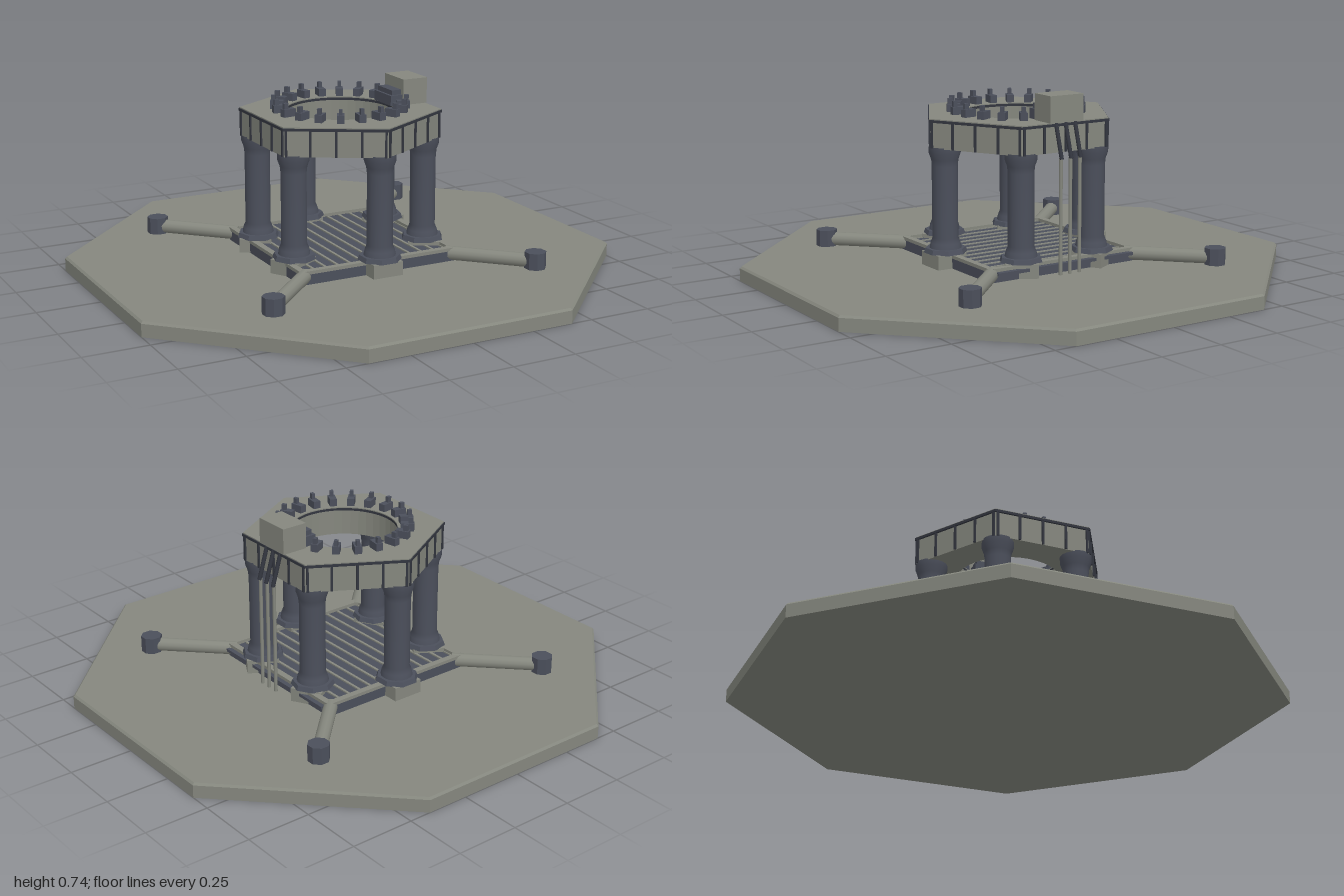
import * as THREE from 'three';

const concrete = new THREE.MeshStandardMaterial({ name: 'concrete', color: 0x85877e });
const steel = new THREE.MeshStandardMaterial({ name: 'blue grey steel', color: 0x4b4f5b });
const trim = new THREE.MeshStandardMaterial({ name: 'dark trim', color: 0x33363f });

export function createModel() {
  const root = new THREE.Group();
  root.name = 'launchStand';

  const add = (name, geo, mat, x = 0, y = 0, z = 0, parent = root) => {
    const m = new THREE.Mesh(geo, mat);
    m.name = name;
    m.position.set(x, y, z);
    parent.add(m);
    return m;
  };
  const box = (name, mat, w, h, d, x, y, z, parent) =>
    add(name, new THREE.BoxGeometry(w, h, d), mat, x, y, z, parent);
  // Faceted prism: toNonIndexed keeps flat sides
  const prism = (rTop, rBottom, h, sides, turn = 0) => {
    const g = new THREE.CylinderGeometry(rTop, rBottom, h, sides).rotateY(turn).toNonIndexed();
    g.computeVertexNormals();
    return g;
  };
  // Cylinder between two points
  const rod = (name, mat, a, b, r, sides = 8) => {
    const dir = b.clone().sub(a);
    const m = add(name, new THREE.CylinderGeometry(r, r, dir.length(), sides), mat);
    m.position.copy(a).add(b).multiplyScalar(0.5);
    m.quaternion.setFromUnitVectors(new THREE.Vector3(0, 1, 0), dir.normalize());
    return m;
  };
  // Group turned so its local +x points outward at angle a
  const spoke = (name, a) => {
    const g = new THREE.Group();
    g.name = name;
    g.rotation.y = a;
    root.add(g);
    return g;
  };

  // Octagonal ground slab with a small top bevel
  const R = 1 / Math.cos(Math.PI / 8);
  add('groundSlab', prism(R, R, 0.05, 8, Math.PI / 8), concrete, 0, 0.025);
  add('slabBevel', prism(R - 0.008, R, 0.008, 8, Math.PI / 8), concrete, 0, 0.054);

  // Grated floor with thin bars between the slats
  box('floorPlate', steel, 0.66, 0.027, 0.62, 0, 0.0715, 0);
  for (let i = -6; i <= 6; i++) {
    box('floorSlat', steel, 0.036, 0.012, 0.62, i * 0.052 + 0.026, 0.091, 0);
    box('floorBar', concrete, 0.01, 0.02, 0.62, i * 0.052, 0.09, 0);
  }
  for (const s of [-1, 1]) {
    box('frameBeam', steel, 0.66, 0.04, 0.022, 0, 0.078, s * 0.322);
    box('frameCap', concrete, 0.66, 0.013, 0.026, 0, 0.1045, s * 0.322);
    box('frameBeamSide', steel, 0.022, 0.04, 0.64, s * 0.325, 0.078, 0);
    box('frameCapSide', concrete, 0.026, 0.013, 0.64, s * 0.325, 0.1045, 0);
    // Diagonal pipes ending in steel posts
    for (const t of [-1, 1]) {
      rod('diagonalPipe', concrete, new THREE.Vector3(s * 0.305, 0.086, t * 0.305),
        new THREE.Vector3(s * 0.555, 0.086, t * 0.555), 0.027, 12);
      add('pipePost', prism(0.042, 0.042, 0.067, 8, Math.PI / 8), steel, s * 0.555, 0.0905, t * 0.555);
    }
  }

  // Six flared columns on concrete footings
  const profile = [[0.062, 0.13], [0.058, 0.15], [0.05, 0.17], [0.05, 0.45], [0.053, 0.475], [0.062, 0.5], [0.062, 0.525]]
    .map(([x, y]) => new THREE.Vector2(x, y));
  for (let i = 0; i < 6; i++) {
    const g = spoke('columnUnit', Math.PI / 6 + i * Math.PI / 3);
    box('footing', concrete, 0.125, 0.055, 0.125, 0.332, 0.0855, 0, g);
    add('footPlate', prism(0.078, 0.085, 0.018, 8, Math.PI / 8), steel, 0.325, 0.121, 0, g);
    add('column', new THREE.LatheGeometry(profile, 16), steel, 0.325, 0, 0, g);
  }

  // Hexagonal table with a round opening
  const hexRing = (r, h) => {
    const shape = new THREE.Shape();
    for (let i = 0; i < 6; i++) {
      const a = Math.PI / 6 + i * Math.PI / 3;
      shape[i ? 'lineTo' : 'moveTo'](r * Math.cos(a), r * Math.sin(a));
    }
    shape.closePath();
    const hole = new THREE.Path();
    hole.absarc(0, 0, 0.207, 0, Math.PI * 2, true);
    shape.holes.push(hole);
    return new THREE.ExtrudeGeometry(shape, { depth: h, bevelEnabled: false, curveSegments: 20 })
      .rotateX(-Math.PI / 2);
  };
  add('tableBody', hexRing(0.388, 0.1), concrete, 0, 0.52);
  add('tableRim', hexRing(0.396, 0.01), trim, 0, 0.62);
  add('tableTop', hexRing(0.392, 0.004), concrete, 0, 0.63);
  for (let i = 0; i < 6; i++) {
    const g = spoke('tableSide', i * Math.PI / 3);
    for (const z of [-0.186, -0.096, 0, 0.096, 0.186])
      box('sideRib', trim, 0.01, 0.1, 0.009, 0.337, 0.571, z, g);
  }

  // Ring of hold-down clamps around the opening
  for (let i = 0; i < 20; i++) {
    const g = spoke('clamp', (i + 0.5) * Math.PI / 10);
    box('clampBody', steel, 0.052, 0.03, 0.028, 0.245, 0.649, 0, g);
    box('clampPin', steel, 0.018, 0.025, 0.014, 0.258, 0.674, 0, g);
  }

  // Service box, its bracket and three feed lines
  box('bracketLow', steel, 0.07, 0.04, 0.13, 0.225, 0.654, 0);
  box('bracketHigh', steel, 0.05, 0.02, 0.11, 0.225, 0.683, 0);
  box('serviceBox', concrete, 0.105, 0.102, 0.15, 0.294, 0.685, 0);
  for (const z of [-0.043, 0, 0.043]) {
    rod('feedElbow', trim, new THREE.Vector3(0.335, 0.635, z), new THREE.Vector3(0.375, 0.5, z), 0.008);
    rod('feedLine', concrete, new THREE.Vector3(0.37, 0.058, z), new THREE.Vector3(0.37, 0.505, z), 0.007);
  }
  return root;
}
